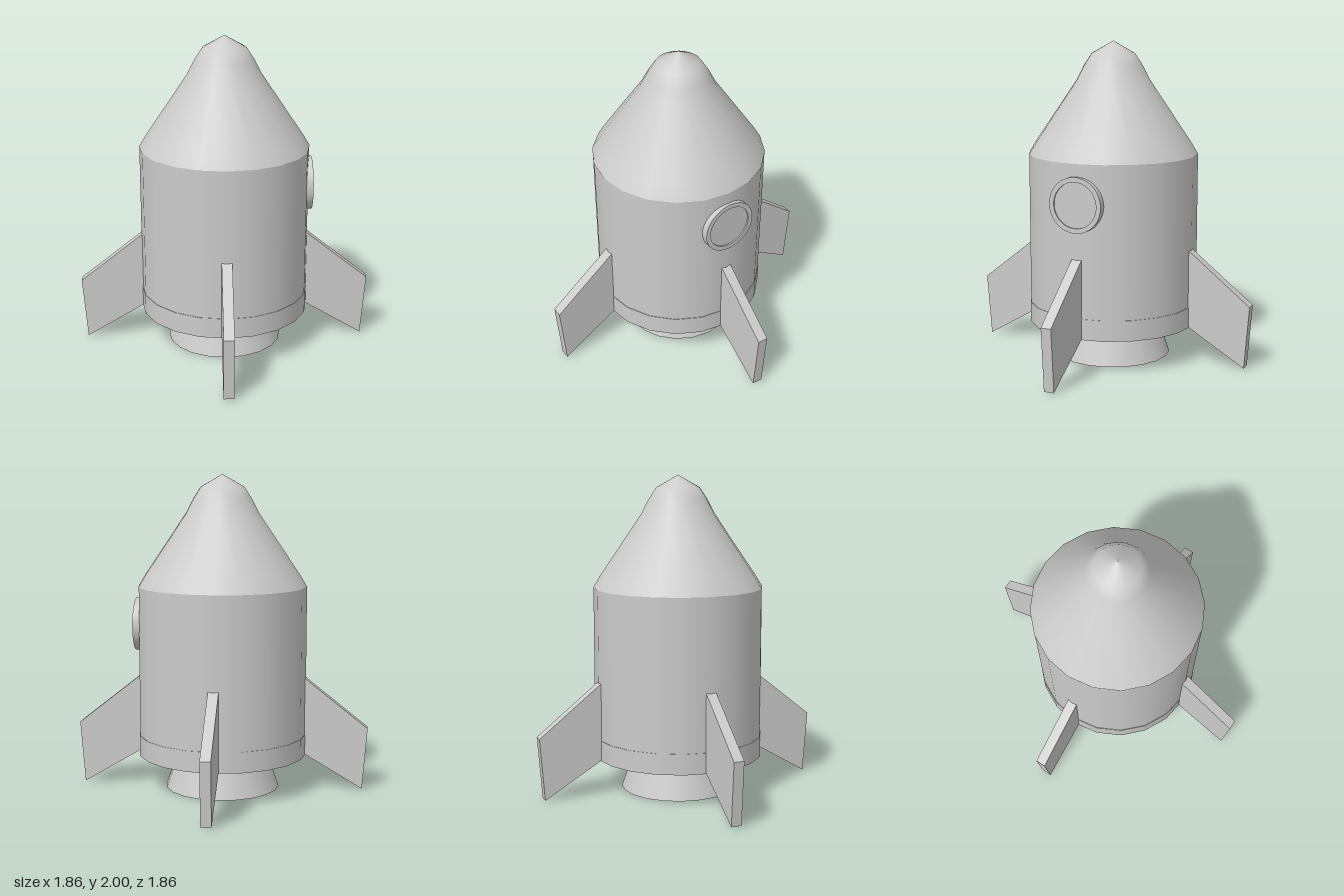
import * as THREE from 'three';

const SIDES = 20;

export function createModel() {
  const rocket = new THREE.Group();
  rocket.name = 'rocket';
  const grey = new THREE.MeshStandardMaterial({ color: 0xcccccc });

  const add = (name, geometry, parent = rocket) => {
    const mesh = new THREE.Mesh(geometry, grey);
    mesh.name = name;
    parent.add(mesh);
    return mesh;
  };
  const lathe = (profile, sides) =>
    new THREE.LatheGeometry(profile.map(([r, y]) => new THREE.Vector2(r, y)), sides);

  // Hull, base band and engine nozzle
  add('hull', new THREE.CylinderGeometry(0.535, 0.535, 1.07, SIDES)).position.y = 0.765;
  add('baseBand', new THREE.CylinderGeometry(0.538, 0.538, 0.13, SIDES)).position.y = 0.285;
  add('nozzle', new THREE.CylinderGeometry(0.285, 0.365, 0.24, SIDES)).position.y = 0.12;

  // Nose cone, rounded off towards the tip
  add('noseCone', lathe([
    [0.537, 1.297], [0.493, 1.37], [0.23, 1.76], [0.187, 1.845], [0.137, 1.922], [0, 2],
  ], SIDES));

  // Four swept fins, their roots sunk into the hull
  const t = 0.065;
  const outline = new THREE.Shape([
    [0.46, 0.267], [0.9, 0.005], [0.93, 0.4], [0.46, 0.772],
  ].map(([x, y]) => new THREE.Vector2(x, y)));
  const finGeometry = new THREE.ExtrudeGeometry(outline, { depth: t, bevelEnabled: false });
  finGeometry.translate(0, 0, -t / 2);
  for (let i = 0; i < 4; i++) {
    add('fin' + (i + 1), finGeometry).rotation.y = i * Math.PI / 2;
  }

  // Round porthole on the left side: raised frame with a slightly recessed pane
  const porthole = new THREE.Group();
  porthole.name = 'porthole';
  porthole.position.set(0.5, 1.05, 0);
  porthole.rotation.y = Math.PI / 2;
  rocket.add(porthole);

  const ring = new THREE.Shape().absarc(0, 0, 0.17, 0, Math.PI * 2);
  ring.holes.push(new THREE.Path().absarc(0, 0, 0.14, 0, Math.PI * 2, true));
  add('portholeFrame', new THREE.ExtrudeGeometry(ring, {
    depth: 0.052, bevelEnabled: false, curveSegments: 32,
  }), porthole);
  const pane = new THREE.CylinderGeometry(0.142, 0.142, 0.043, 32);
  pane.rotateX(Math.PI / 2).translate(0, 0, 0.0215);
  add('portholePane', pane, porthole);

  return rocket;
}
